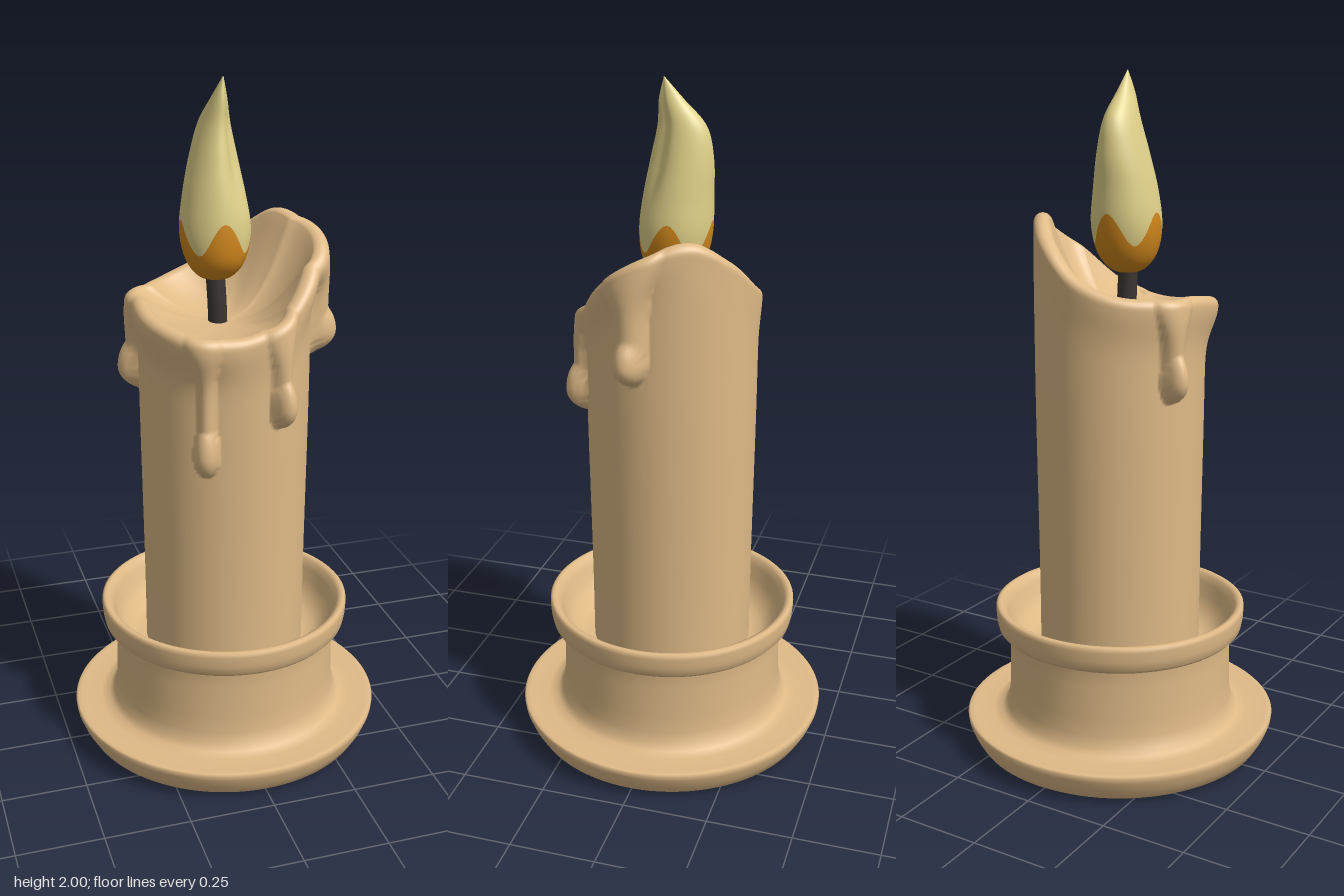
import * as THREE from 'three';

const wax = new THREE.MeshStandardMaterial({ name: 'wax', color: 0xdfba87 });
const flameYellow = new THREE.MeshStandardMaterial({ name: 'flameYellow', color: 0xdfd088 });
const flameOrange = new THREE.MeshStandardMaterial({ name: 'flameOrange', color: 0xd2881c });
const char = new THREE.MeshStandardMaterial({ name: 'char', color: 0x3c3632 });

const TAU = Math.PI * 2;

// Closed-around surface: rows run upwards, columns run around the y axis
function wrapSurface(rows, cols, pointAt) {
  const pos = [], index = [];
  for (let i = 0; i <= rows; i++)
    for (let j = 0; j < cols; j++) pos.push(...pointAt(i, (j / cols) * TAU));
  for (let i = 0; i < rows; i++)
    for (let j = 0; j < cols; j++) {
      const k = (j + 1) % cols;
      const a = i * cols + j, b = a + cols, c = i * cols + k, d = c + cols;
      index.push(a, b, c, b, d, c);
    }
  const geo = new THREE.BufferGeometry();
  geo.setAttribute('position', new THREE.Float32BufferAttribute(pos, 3));
  geo.setIndex(index);
  geo.computeVertexNormals();
  return geo;
}

function addMesh(parent, name, geometry, material) {
  const mesh = new THREE.Mesh(geometry, material);
  mesh.name = name;
  parent.add(mesh);
  return mesh;
}

// Turned holder: foot, neck, rolled lip and shallow cup
function holderGeometry() {
  const profile = [
    [0, 0], [0.2, 0], [0.405, 0], [0.42, 0.003], [0.437, 0.014], [0.455, 0.045], [0.467, 0.075],
    [0.469, 0.09], [0.464, 0.095], [0.45, 0.095], [0.39, 0.093], [0.362, 0.1], [0.347, 0.118],
    [0.339, 0.15], [0.336, 0.2], [0.334, 0.3], [0.335, 0.345], [0.339, 0.354], [0.358, 0.358],
    [0.369, 0.37], [0.374, 0.395], [0.376, 0.425], [0.375, 0.436], [0.369, 0.44], [0.36, 0.44],
    [0.349, 0.433], [0.338, 0.41], [0.328, 0.375], [0.31, 0.34], [0.28, 0.315], [0.24, 0.305], [0, 0.3],
  ];
  return new THREE.LatheGeometry(profile.map(([x, y]) => new THREE.Vector2(x, y)), 96);
}

// Rim height and rim radius every 30 degrees, from +x towards +z
const rim = new THREE.CatmullRomCurve3([
  [1.575, 0.262], [1.49, 0.272], [1.385, 0.258], [1.34, 0.262], [1.345, 0.285], [1.37, 0.283],
  [1.39, 0.267], [1.395, 0.265], [1.405, 0.26], [1.45, 0.252], [1.54, 0.248], [1.605, 0.246],
].map(([h, r]) => new THREE.Vector3(h, r, 0)), true, 'catmullrom', 0.5);

// Wax runs: direction, lowest point, bulb half width and depth, stem half width and depth
const drips = [
  { angle: 0.16, low: 1.21, bulb: 0.046, out: 0.08, stem: 0.05, stemOut: 0.055 },
  { angle: 1.18, low: 1.06, bulb: 0.036, out: 0.06, stem: 0.03, stemOut: 0.035 },
  { angle: 2.06, low: 0.93, bulb: 0.039, out: 0.045, stem: 0.027, stemOut: 0.026 },
  { angle: 3.56, low: 1.1, bulb: 0.036, out: 0.066, stem: 0.034, stemOut: 0.04 },
];

function dripDepth(angle, y, top) {
  let depth = 0;
  for (const d of drips) {
    const s = Math.atan2(Math.sin(angle - d.angle), Math.cos(angle - d.angle)) * 0.27;
    const v = y - (d.low + 0.065);
    const bulb = 1 - (s / d.bulb) ** 2 - (v / (v > 0 ? 0.1 : 0.065)) ** 2;
    if (bulb > 0) depth = Math.max(depth, d.out * bulb ** 0.6);
    // the stem widens where it leaves the rim
    const flare = Math.exp(-(((top - y) / 0.09) ** 2));
    const stem = 1 - (s / (d.stem * (1 + 0.9 * flare))) ** 2;
    if (v > 0 && stem > 0) {
      const fade = Math.min(1, v / 0.03) * (1 - 0.5 * flare);
      depth = Math.max(depth, d.stemOut * fade * stem ** 0.7);
    }
  }
  return depth;
}

// Candle: outer wall with drips, rounded rim, melted hollow
function candleGeometry() {
  const WALL = 90, ARC = 10, BOWL = 20, LIP = 0.026, FLOOR = 1.315;
  return wrapSurface(WALL + ARC + BOWL, 220, (i, angle) => {
    const { x: top, y: rimRadius } = rim.getPoint(angle / TAU);
    const outer = (y) => {
      const body = 0.241 + 0.006 * THREE.MathUtils.smoothstep(y, 0.4, 1.2);
      const swell = Math.exp(-(((top - LIP - y) / 0.085) ** 2));
      return body + (rimRadius - body) * swell + dripDepth(angle, y, top);
    };
    const shoulder = top - LIP;
    let r, y;
    if (i <= WALL) {
      y = i < 10 ? 0.3 + 0.058 * i : 0.88 + (shoulder - 0.88) * ((i - 10) / (WALL - 10));
      r = outer(y);
    } else if (i <= WALL + ARC) {
      const a = ((i - WALL) / ARC) * Math.PI * 0.8;
      r = outer(shoulder) - LIP + LIP * Math.cos(a);
      y = shoulder + LIP * Math.sin(a);
    } else {
      const edge = LIP * Math.sin(Math.PI * 0.8);
      const inner = outer(shoulder) - LIP + LIP * Math.cos(Math.PI * 0.8);
      const t = 1 - (i - WALL - ARC) / BOWL;
      r = Math.max(inner * t, 0.001);
      y = FLOOR + (shoulder + edge - FLOOR) * t ** 2.2;
    }
    return [r * Math.cos(angle), y, r * Math.sin(angle)];
  });
}

// Flame sections: height, centre x, centre z, half width, half depth
const sections = [
  [1.437, -0.025, 0, 0.002, 0.002], [1.452, -0.025, 0, 0.05, 0.05], [1.5, -0.025, 0, 0.085, 0.09],
  [1.58, -0.025, -0.005, 0.1, 0.104], [1.68, -0.025, -0.011, 0.088, 0.1], [1.78, -0.023, -0.021, 0.067, 0.09],
  [1.87, -0.02, -0.022, 0.044, 0.07], [1.94, -0.015, 0.006, 0.022, 0.036], [2, -0.01, 0.025, 0.001, 0.001],
];
const flameCentre = new THREE.CatmullRomCurve3(
  sections.map(([y, x, z]) => new THREE.Vector3(x, y, z)), false, 'catmullrom', 0.5);
const flameSize = new THREE.CatmullRomCurve3(
  sections.map(([, , , w, d]) => new THREE.Vector3(w, 0, d)), false, 'catmullrom', 0.5);

function flameGeometry() {
  const LOWER = 16, UPPER = 36, COLS = 64;
  // curve parameter at a given height
  const paramAt = (y) => {
    let a = 0, b = 1;
    for (let n = 0; n < 24; n++) {
      const m = (a + b) / 2;
      if (flameCentre.getPoint(m).y < y) a = m; else b = m;
    }
    return a;
  };
  const geo = wrapSurface(LOWER + UPPER, COLS, (i, angle) => {
    const border = paramAt(1.57 + 0.045 * Math.cos(4 * angle));
    const t = i <= LOWER ? border * (i / LOWER) : border + (1 - border) * ((i - LOWER) / UPPER);
    const c = flameCentre.getPoint(t), s = flameSize.getPoint(t);
    // shallow fold down the front right of the upper flame
    const fold = 1 - 0.28 * Math.exp(-(((angle - 0.8) / 0.45) ** 2))
      * THREE.MathUtils.smoothstep(c.y, 1.6, 1.8);
    return [c.x + Math.max(s.x, 0.001) * fold * Math.cos(angle), c.y,
      c.z + Math.max(s.z, 0.001) * fold * Math.sin(angle)];
  });
  geo.addGroup(0, LOWER * COLS * 6, 0);
  geo.addGroup(LOWER * COLS * 6, UPPER * COLS * 6, 1);
  return geo;
}

export function createModel() {
  const model = new THREE.Group();
  model.name = 'candleInHolder';
  addMesh(model, 'holder', holderGeometry(), wax);
  addMesh(model, 'candle', candleGeometry(), wax);

  // Slightly bent wick
  const wickPath = new THREE.CatmullRomCurve3([
    new THREE.Vector3(-0.018, 1.29, 0), new THREE.Vector3(-0.022, 1.38, 0.003), new THREE.Vector3(-0.028, 1.48, 0),
  ]);
  addMesh(model, 'wick', new THREE.TubeGeometry(wickPath, 8, 0.028, 12), char);

  addMesh(model, 'flame', flameGeometry(), [flameOrange, flameYellow]);
  return model;
}
